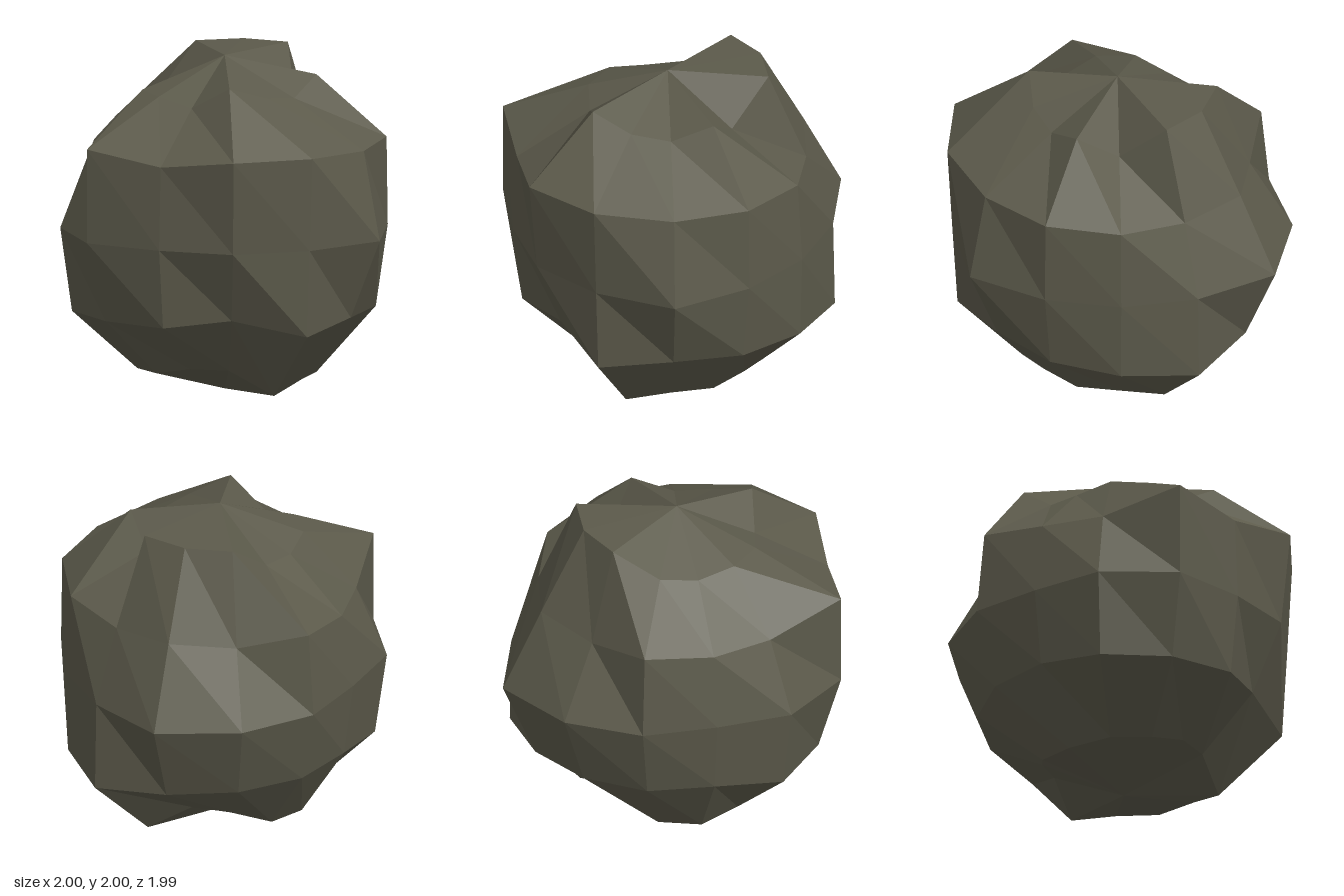
import * as THREE from 'three';

const SEGMENTS = 13;
const ROWS = 6;

// Horizontal reach of each vertex from the axis, ring by ring from top to
// bottom, going around from +x towards +z.
const REACH = [
  [0.48, 0.50, 0.55, 0.463, 0.49, 0.49, 0.466, 0.475, 0.587, 0.592, 0.594, 0.447, 0.54],
  [0.96, 1.01, 1.015, 0.897, 1.02, 0.80, 0.805, 0.91, 0.78, 0.864, 0.817, 0.904, 0.953],
  [1.07, 0.98, 0.96, 0.92, 1.02, 0.98, 0.88, 0.96, 1.033, 1.107, 0.975, 0.935, 0.96],
  [0.87, 0.95, 0.785, 0.865, 0.88, 0.91, 0.82, 0.84, 0.86, 0.90, 0.985, 0.92, 0.89],
  [0.535, 0.57, 0.48, 0.48, 0.51, 0.52, 0.54, 0.53, 0.48, 0.47, 0.568, 0.535, 0.54],
];

export function createModel() {
  const stone = new THREE.MeshStandardMaterial({ color: 0x5c5a4b });
  stone.name = 'mossy grey stone';

  // Faceted ball whose vertices are pushed in and out to make a boulder
  const ball = new THREE.SphereGeometry(1, SEGMENTS, ROWS, Math.PI);
  const pos = ball.attributes.position;
  for (let row = 0; row <= ROWS; row++) {
    const latitude = Math.PI / 2 - (row * Math.PI) / ROWS;
    for (let j = 0; j <= SEGMENTS; j++) {
      const k = (SEGMENTS - j) % SEGMENTS;
      const pole = row === 0 || row === ROWS;
      const reach = pole ? 0 : REACH[row - 1][k];
      const height = pole ? Math.sign(latitude) : reach * Math.tan(latitude) * 0.955;
      const angle = (k / SEGMENTS) * Math.PI * 2;
      pos.setXYZ(
        row * (SEGMENTS + 1) + j,
        -0.07 + reach * Math.cos(angle),
        1 + height,
        0.04 + reach * Math.sin(angle),
      );
    }
  }

  // Separate the faces so that every facet is shaded flat
  const facets = ball.toNonIndexed();
  facets.computeVertexNormals();

  const boulder = new THREE.Mesh(facets, stone);
  boulder.name = 'boulder';

  const group = new THREE.Group();
  group.name = 'rock';
  group.add(boulder);
  return group;
}
